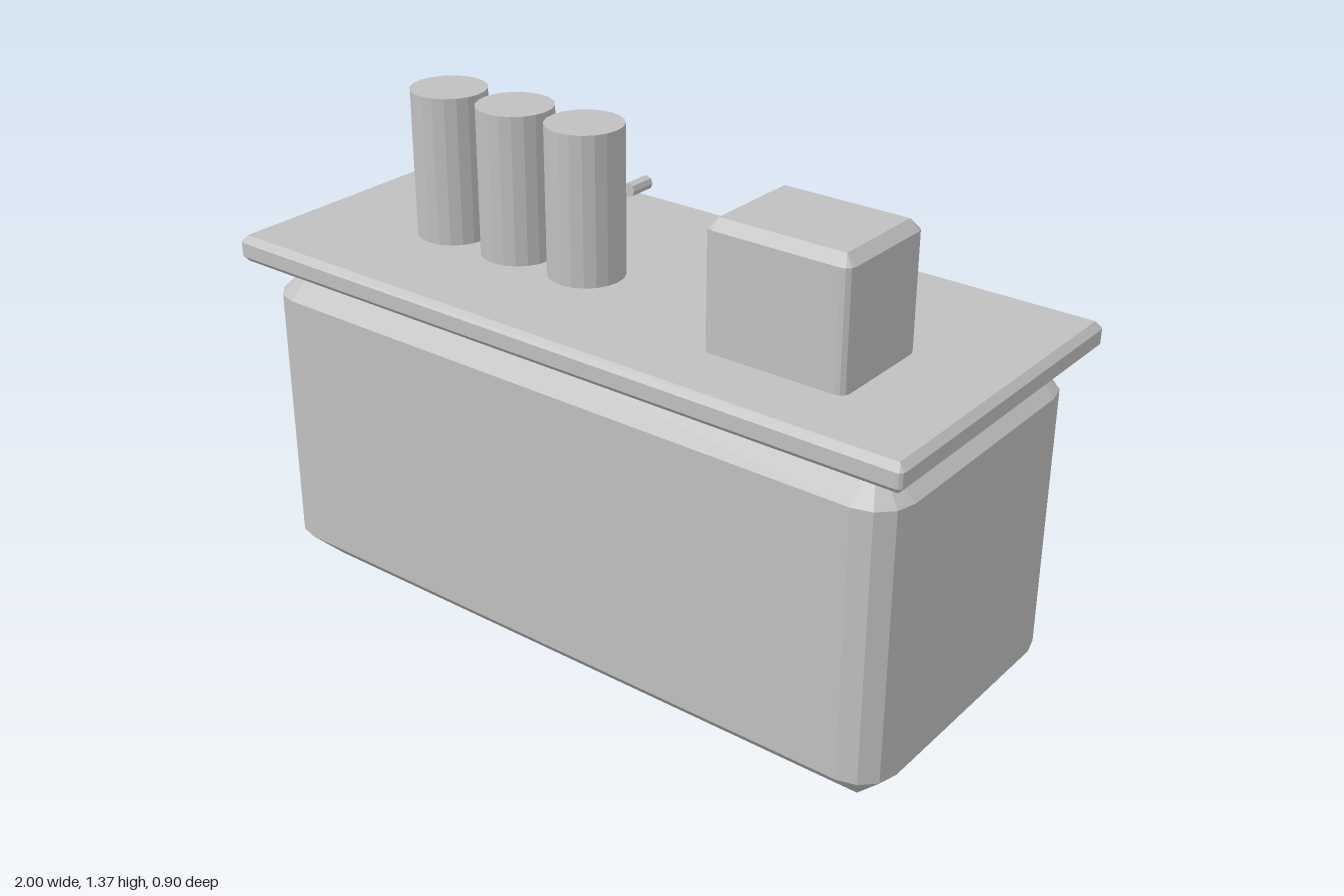
import * as THREE from 'three';
import { ConvexGeometry } from 'three/addons/geometries/ConvexGeometry.js';

// Box with 45 degree chamfered top and bottom rims and three-step rounded upright corners
function chamferedBox(width, height, depth, r) {
  const points = [];
  const ix = width / 2 - r, iz = depth / 2 - r;
  for (const sx of [-1, 1]) {
    for (const sz of [-1, 1]) {
      for (const sy of [-1, 1]) {
        points.push(new THREE.Vector3(sx * ix, sy * height / 2, sz * iz));
        for (let j = 0; j <= 3; j++) {
          const a = j * Math.PI / 6;
          points.push(new THREE.Vector3(
            sx * (ix + r * Math.cos(a)), sy * (height / 2 - r), sz * (iz + r * Math.sin(a))));
        }
      }
    }
  }
  return new ConvexGeometry(points);
}

export function createModel() {
  const model = new THREE.Group();
  model.name = 'serviceCounter';
  const grey = new THREE.MeshStandardMaterial({ color: 0xc0c0c0, flatShading: true });
  grey.name = 'plain grey';

  function add(name, geometry, x, y, z) {
    const mesh = new THREE.Mesh(geometry, grey);
    mesh.name = name;
    mesh.position.set(x, y, z);
    model.add(mesh);
    return mesh;
  }

  // Cabinet and worktop
  add('cabinet', chamferedBox(1.916, 0.91, 0.824, 0.1), 0, 0.455, 0);
  add('worktop', chamferedBox(2, 0.072, 0.902, 0.017), 0, 0.935, 0);

  // Till with a small display on its back; its lower rim is sunk into the worktop
  add('till', chamferedBox(0.382, 0.35, 0.302, 0.025), 0.547, 1.118, 0.113);
  add('tillDisplay', new THREE.BoxGeometry(0.218, 0.084, 0.03), 0.547, 1.18, -0.04);

  // Three drink dispensers, each with a tap behind it
  const dispenser = new THREE.CylinderGeometry(0.098, 0.098, 0.385, 20);
  const tap = new THREE.CylinderGeometry(0.018, 0.018, 0.073, 8).rotateX(Math.PI / 2);
  for (const x of [-0.55, -0.33, -0.11]) {
    add('dispenser', dispenser, x, 1.18, 0.11);
    add('tap', tap, x, 1.154, -0.091);
  }

  // Back of the cabinet: a wide panel above four upright handles
  add('backPanel', new THREE.BoxGeometry(0.99, 0.218, 0.02), -0.29, 0.633, -0.412);
  const handle = new THREE.CylinderGeometry(0.015, 0.015, 0.127, 8);
  for (const x of [-0.66, -0.22, 0.22, 0.66]) {
    add('handle', handle, x, 0.398, -0.421);
  }

  return model;
}
